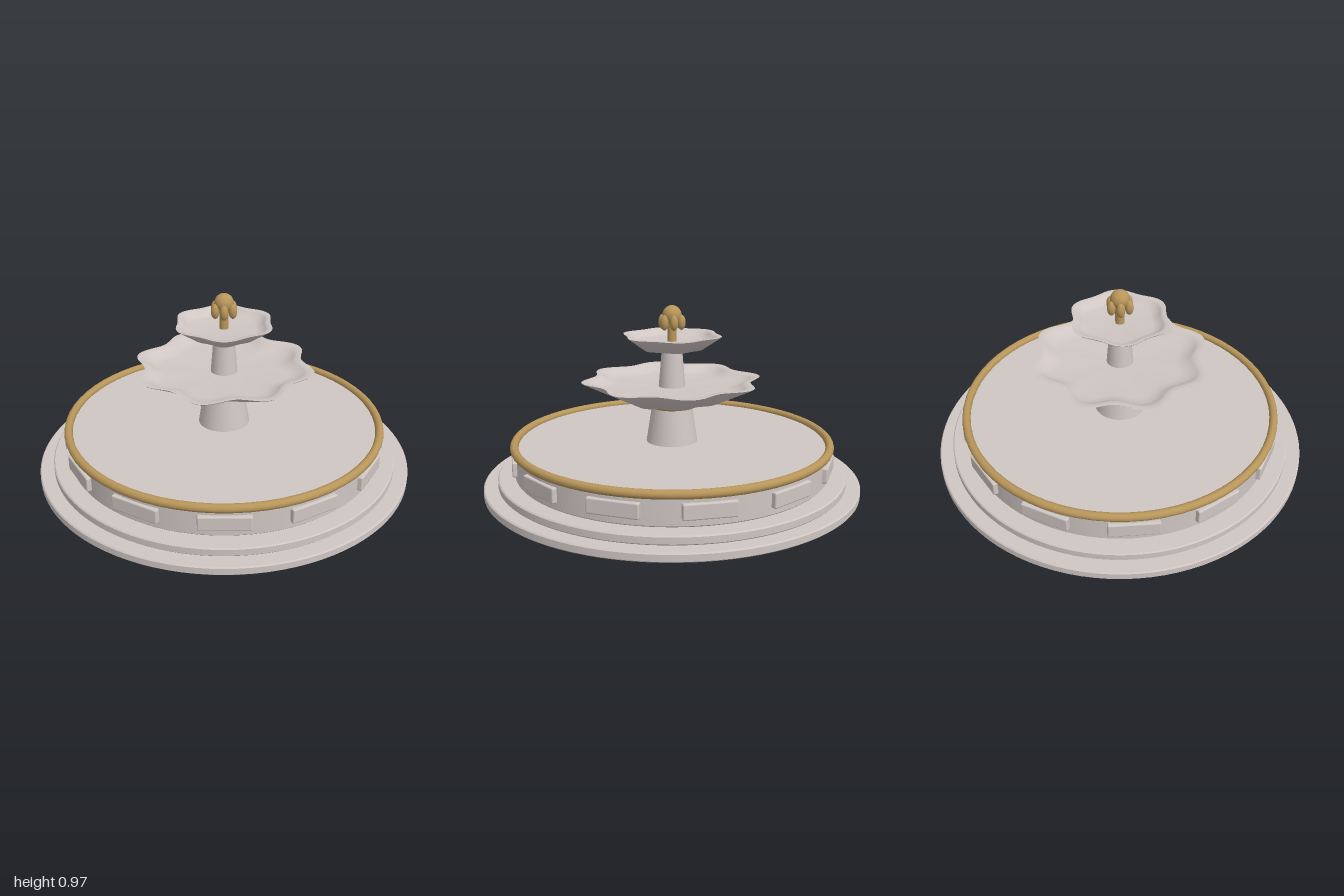
import * as THREE from 'three';
import { toCreasedNormals } from 'three/addons/utils/BufferGeometryUtils.js';
import { RoundedBoxGeometry } from 'three/addons/geometries/RoundedBoxGeometry.js';

export function createModel() {
  const model = new THREE.Group();
  const stone = new THREE.MeshStandardMaterial({ color: 0xcfc6c3 });
  stone.name = 'pale stone';
  const gold = new THREE.MeshStandardMaterial({ color: 0xb8965a });
  gold.name = 'aged gold';

  const add = (name, geometry, material, y = 0, parent = model) => {
    const mesh = new THREE.Mesh(geometry, material);
    mesh.name = name;
    mesh.position.y = y;
    parent.add(mesh);
    return mesh;
  };

  // Solid disc with softly chamfered edges
  const slab = (radius, y0, y1, c = 0.006) => {
    const points = [
      [0, y0], [radius - c, y0], [radius, y0 + c],
      [radius, y1 - c], [radius - c, y1], [0, y1],
    ].map(([x, y]) => new THREE.Vector2(x, y));
    return toCreasedNormals(new THREE.LatheGeometry(points, 96), 0.6);
  };

  // Horizontal moulding ring
  const ring = (radius, tube, segments) =>
    new THREE.TorusGeometry(radius, tube, 12, segments).rotateX(Math.PI / 2);

  // Tapered round column
  const column = (top, bottom, y0, y1) =>
    new THREE.CylinderGeometry(top, bottom, y1 - y0, 40).translate(0, (y0 + y1) / 2, 0);

  // Scalloped bowl: wavy loops running from the underside, over the lip, to the floor
  const bowl = (radius, wave, lobes, profile) => {
    const n = 96;
    const positions = [];
    const indices = [];
    profile.forEach(([scale, y]) => {
      for (let i = 0; i < n; i++) {
        const a = (i / n) * Math.PI * 2;
        const r = (radius + wave * Math.cos(lobes * a)) * scale;
        positions.push(r * Math.cos(a), y, r * Math.sin(a));
      }
    });
    for (let k = 0; k < profile.length - 1; k++) {
      for (let i = 0; i < n; i++) {
        const j = (i + 1) % n;
        const a = k * n + i, b = k * n + j, c = a + n, d = b + n;
        if (profile[k][0] > 0) indices.push(a, c, b);
        if (profile[k + 1][0] > 0) indices.push(b, c, d);
      }
    }
    const geometry = new THREE.BufferGeometry();
    geometry.setAttribute('position', new THREE.Float32BufferAttribute(positions, 3));
    geometry.setIndex(indices);
    return toCreasedNormals(geometry, 0.9);
  };

  // Stepped base and basin drum
  add('lowerStep', slab(1, 0, 0.045), stone);
  add('upperStep', slab(0.925, 0.045, 0.09), stone);
  add('basinDrum', slab(0.835, 0.09, 0.24), stone);
  add('basinRim', ring(0.835, 0.022, 64), gold, 0.245);

  // Twelve raised panels around the drum
  const panels = new THREE.Group();
  panels.name = 'basinPanels';
  model.add(panels);
  for (let i = 0; i < 12; i++) {
    const a = (i / 12) * Math.PI * 2;
    const panel = add('panel', new RoundedBoxGeometry(0.255, 0.078, 0.04, 2, 0.008), stone, 0.167, panels);
    panel.position.x = Math.sin(a) * 0.83;
    panel.position.z = Math.cos(a) * 0.83;
    panel.rotation.y = a;
  }

  // Lower tier
  add('lowerColumn', column(0.1, 0.138, 0.23, 0.475), stone);
  add('columnCollar', ring(0.1, 0.017, 48), gold, 0.441);
  add('lowerBowl', bowl(0.448, 0.032, 8, [
    [0, 0.468], [0.54, 0.468], [0.98, 0.568], [1, 0.575],
    [0.93, 0.575], [0.89, 0.565], [0.8, 0.543], [0.7, 0.538], [0, 0.538],
  ]), stone);

  // Upper tier
  add('upperColumn', column(0.053, 0.071, 0.53, 0.745), stone);
  add('upperBowl', bowl(0.252, 0.014, 6, [
    [0, 0.74], [0.62, 0.74], [0.98, 0.805], [1, 0.811],
    [0.91, 0.811], [0.87, 0.803], [0.78, 0.782], [0.68, 0.778], [0, 0.778],
  ]), stone);

  // Finial: stem, ball and a ring of six buds
  const finial = new THREE.Group();
  finial.name = 'finial';
  model.add(finial);
  add('finialStem', column(0.024, 0.024, 0.77, 0.9), gold, 0, finial);
  add('finialBall', new THREE.SphereGeometry(0.05, 24, 16), gold, 0.916, finial);
  for (let i = 0; i < 6; i++) {
    const a = (i / 6) * Math.PI * 2;
    const bud = add('finialBud', new THREE.SphereGeometry(0.022, 16, 12), gold, 0.879, finial);
    bud.scale.y = 1.8;
    bud.position.x = Math.cos(a) * 0.052;
    bud.position.z = Math.sin(a) * 0.052;
  }

  return model;
}
